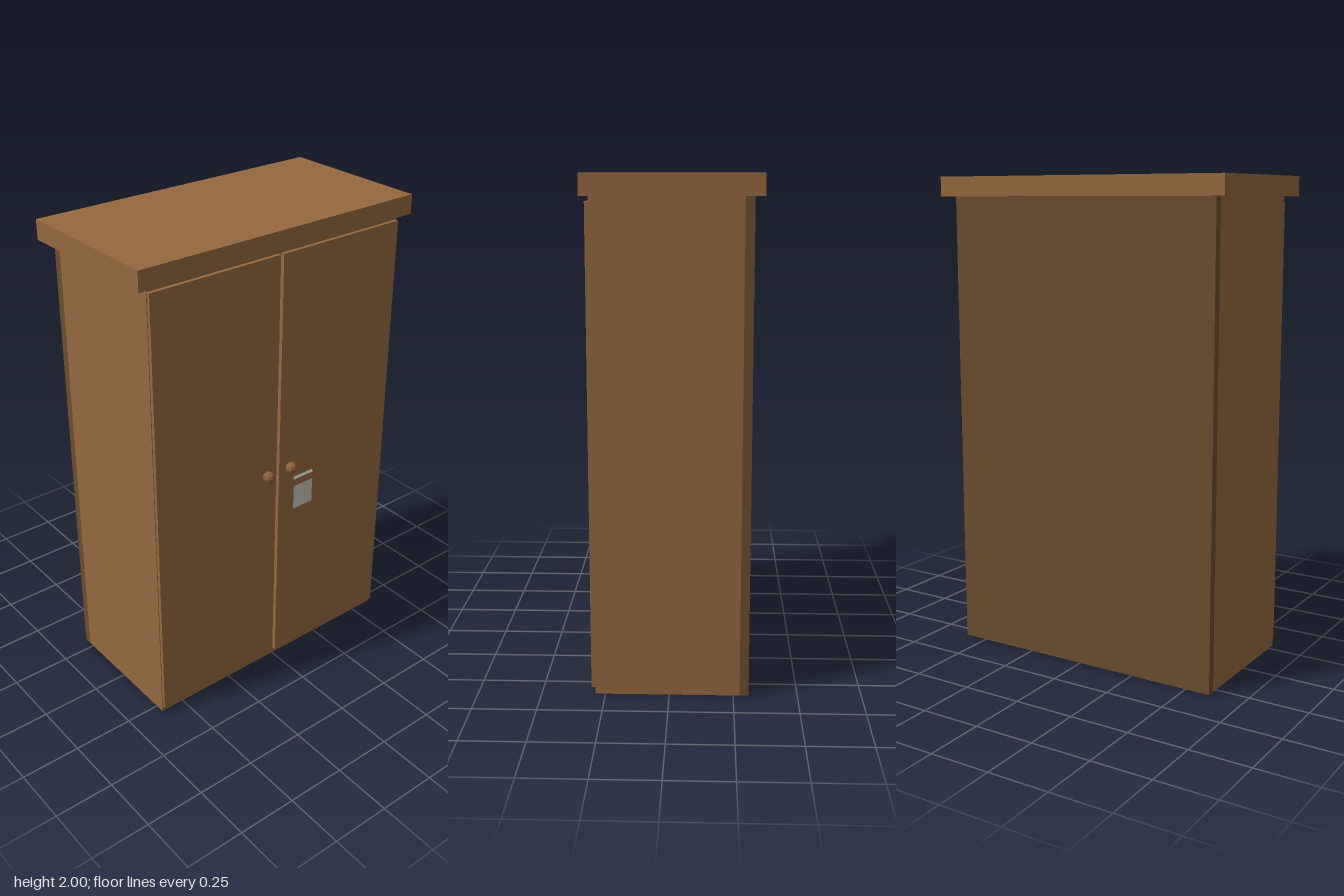
import * as THREE from 'three';

const mat = (name, color, extra = {}) => {
  const m = new THREE.MeshStandardMaterial({ color, ...extra });
  m.name = name;
  return m;
};

export function createModel() {
  const wood = mat('wood', 0x966840);
  const backWood = mat('backWood', 0x6c4e2e);
  const knobWood = mat('knobWood', 0x8f603a, { flatShading: true });
  const paper = mat('paper', 0xc8c6ba, { side: THREE.DoubleSide });
  const band = mat('band', 0x966840, { side: THREE.DoubleSide });

  const group = new THREE.Group();
  group.name = 'cabinet';

  const add = (name, geometry, material) => {
    const mesh = new THREE.Mesh(geometry, material);
    mesh.name = name;
    group.add(mesh);
    return mesh;
  };

  // Board given by its extents on each axis
  const board = (name, [x0, x1], [y0, y1], [z0, z1], material = wood) =>
    add(name, new THREE.BoxGeometry(x1 - x0, y1 - y0, z1 - z0), material)
      .position.set((x0 + x1) / 2, (y0 + y1) / 2, (z0 + z1) / 2);

  // Hollow carcass
  const depth = [-0.275, 0.29];
  board('rightSide', [-0.605, -0.575], [0, 1.92], depth);
  board('leftSide', [0.575, 0.605], [0, 1.92], depth);
  board('bottom', [-0.575, 0.575], [0, 0.04], depth);
  board('innerTop', [-0.575, 0.575], [1.89, 1.92], depth);
  board('backPanel', [-0.605, 0.605], [0, 1.92], [-0.31, -0.275], backWood);
  board('topSlab', [-0.655, 0.655], [1.92, 2], [-0.345, 0.32]);

  // Pair of doors with a narrow gap
  board('rightDoor', [-0.602, -0.01], [0.025, 1.9], [0.288, 0.305]);
  board('leftDoor', [0.005, 0.602], [0.025, 1.9], [0.288, 0.305]);

  // Round knobs
  for (const [name, x] of [['rightKnob', -0.062], ['leftKnob', 0.06]]) {
    add(name, new THREE.SphereGeometry(0.025, 8, 6), knobWood).position.set(x, 0.965, 0.32);
  }

  // Thin hanging tag: a sheet bent along a [y, z] profile
  const strip = (name, profile, material) => {
    const g = new THREE.PlaneGeometry(0.103, 1, 1, profile.length - 1);
    const p = g.attributes.position;
    profile.forEach(([y, z], i) => {
      for (let k = 0; k < 2; k++) p.setXYZ(i * 2 + k, p.getX(i * 2 + k) + 0.119, y, z);
    });
    g.computeVertexNormals();
    add(name, g, material);
  };
  strip('tagTop', [[0.921, 0.325], [0.91, 0.33]], paper);
  strip('tagBand', [[0.91, 0.33], [0.895, 0.333], [0.878, 0.33]], band);
  strip('tagSheet', [[0.878, 0.33], [0.865, 0.328], [0.765, 0.328]], paper);

  return group;
}
